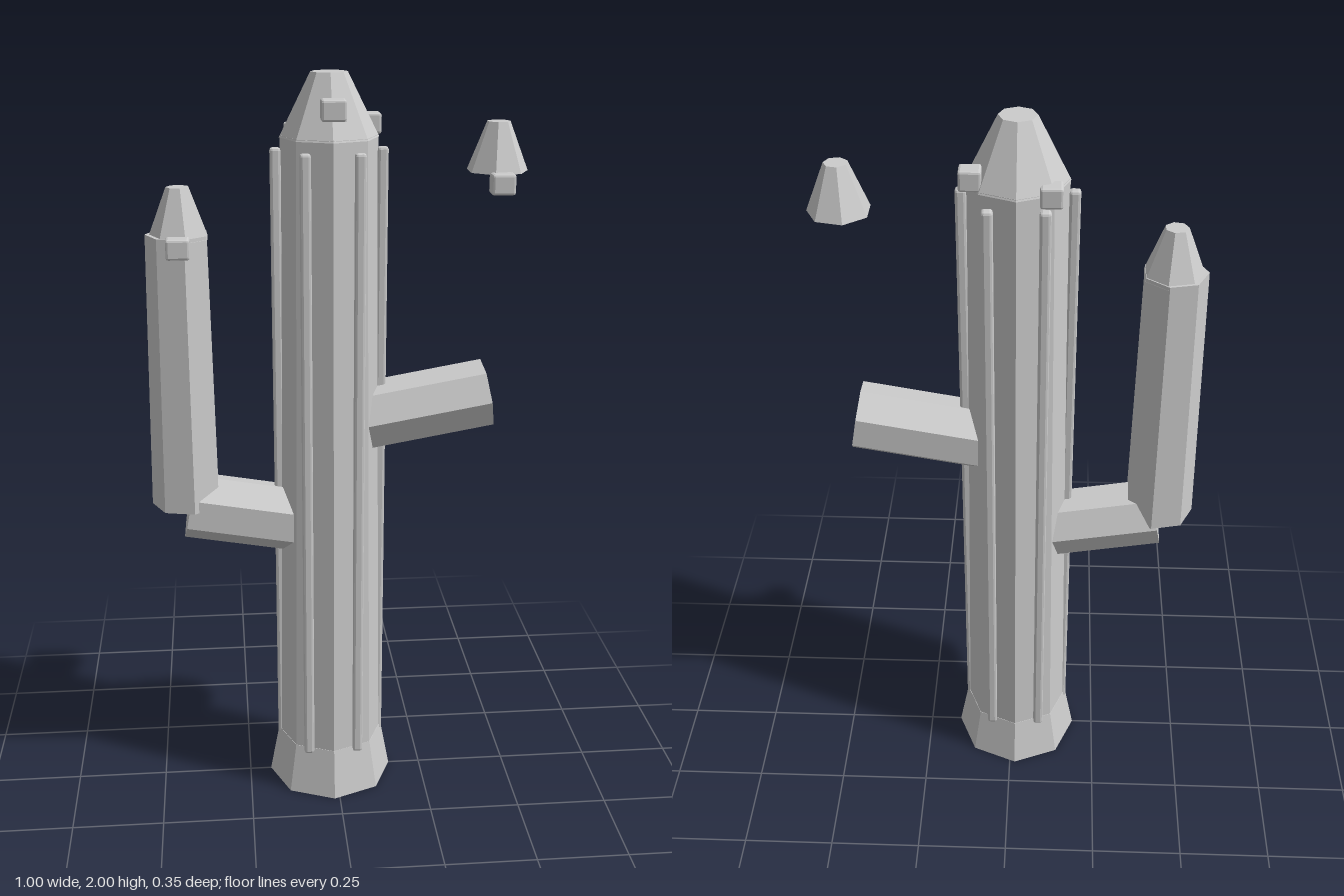
import * as THREE from 'three';
import { RoundedBoxGeometry } from 'three/addons/geometries/RoundedBoxGeometry.js';

export function createModel() {
  const group = new THREE.Group();
  group.name = 'cactus';
  const grey = new THREE.MeshStandardMaterial({ color: 0xcccccc, flatShading: true });
  grey.name = 'plain grey';
  const trunkX = -0.015;

  function add(name, geometry, x, y, z) {
    const mesh = new THREE.Mesh(geometry, grey);
    mesh.name = name;
    mesh.position.set(x, y, z);
    group.add(mesh);
    return mesh;
  }

  // Upright tapered prism between two heights; turn sets where its first corner points
  function prism(name, x, y0, y1, r0, r1, sides, turn = 0) {
    const g = new THREE.CylinderGeometry(r1, r0, y1 - y0, sides);
    g.rotateY(turn);
    return add(name, g, x, (y0 + y1) / 2, 0);
  }

  // Sloping seven-sided arm from inside the trunk to its outer end
  function arm(name, x0, y0, x1, y1, turn) {
    const dir = new THREE.Vector3(x1 - x0, y1 - y0, 0);
    const g = new THREE.CylinderGeometry(0.093, 0.093, dir.length(), 7);
    g.rotateY(turn);
    const mesh = add(name, g, (x0 + x1) / 2, (y0 + y1) / 2, 0);
    mesh.rotation.z = Math.atan2(dir.y, dir.x) - Math.PI / 2;
  }

  // Trunk with flared foot and tapered crown
  prism('trunkFoot', trunkX, 0, 0.14, 0.175, 0.149, 8);
  prism('trunk', trunkX, 0.13, 1.845, 0.148, 0.125, 8);
  prism('trunkCap', trunkX, 1.84, 2.0, 0.127, 0.047, 8);

  // Six slim ribs around the trunk
  for (let i = 0; i < 6; i++) {
    const a = (i * Math.PI) / 3;
    add('rib', new RoundedBoxGeometry(0.028, 1.69, 0.028, 1, 0.007),
      trunkX + 0.137 * Math.cos(a), 0.97, 0.137 * Math.sin(a));
  }

  // Right arm with its upright branch
  arm('rightArm', -0.03, 0.79, -0.4, 0.855, Math.PI);
  prism('rightBranch', -0.405, 0.86, 1.6, 0.095, 0.083, 7, -Math.PI / 2);
  prism('rightBranchCap', -0.4, 1.59, 1.72, 0.08, 0.03, 7, -Math.PI / 2);

  // Left arm and its separate cap
  arm('leftArm', -0.03, 1.075, 0.412, 1.152, 0);
  prism('leftBranchCap', 0.417, 1.75, 1.875, 0.08, 0.03, 7, Math.PI / 2);

  // Small block flowers
  const flowers = [
    [trunkX, 1.92, 0.13, 0.062],
    [0.095, 1.867, -0.058, 0.055],
    [-0.097, 1.84, -0.085, 0.055],
    [-0.403, 1.58, 0.085, 0.06],
    [0.416, 1.73, 0.085, 0.06],
  ];
  for (const [x, y, z, w] of flowers) {
    add('flower', new RoundedBoxGeometry(w, 0.052, 0.052, 1, 0.006), x, y, z);
  }
  return group;
}
